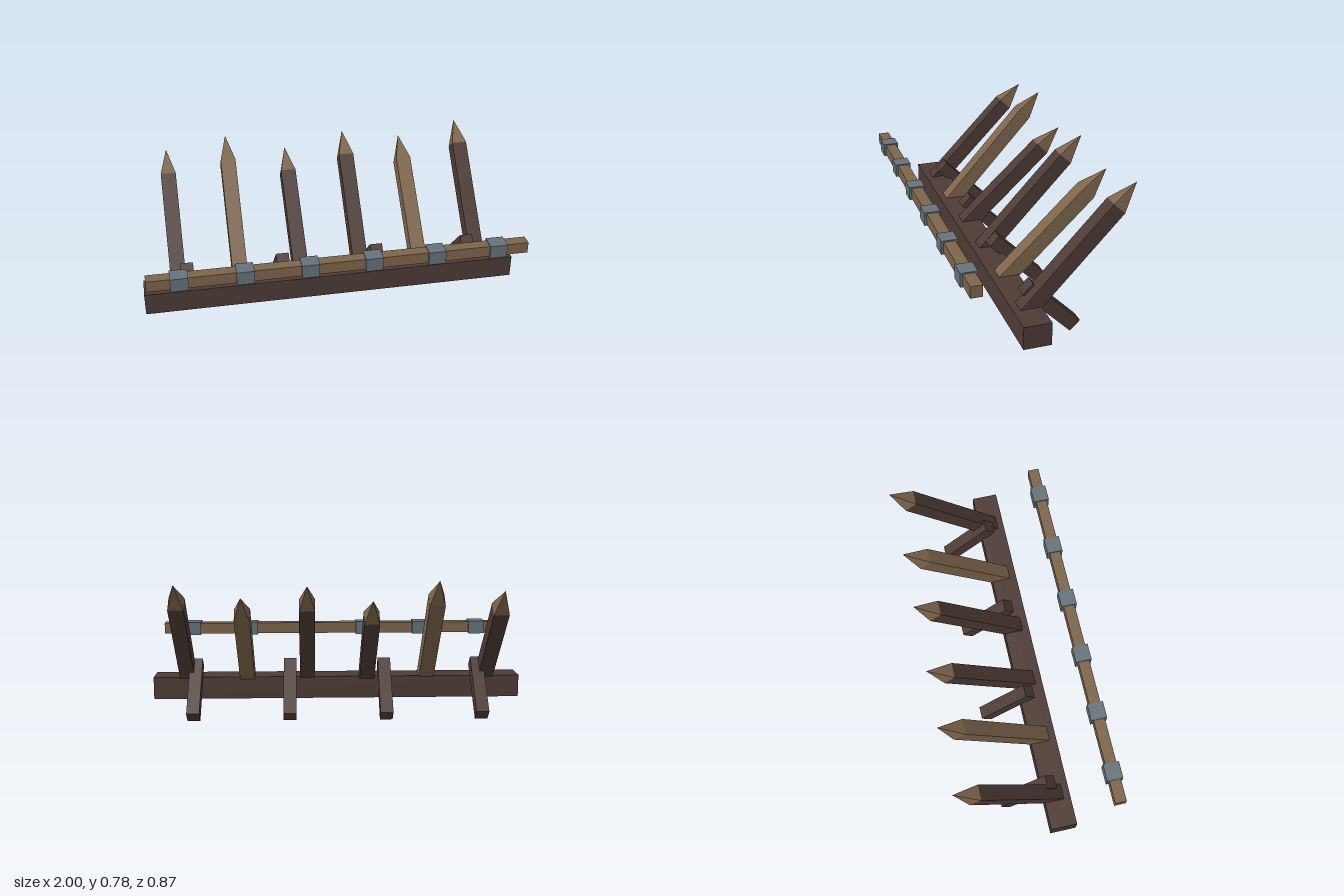
import * as THREE from 'three';

export function createModel() {
  const model = new THREE.Group();
  model.name = 'spikedBarricade';

  const material = (name, color) => {
    const m = new THREE.MeshStandardMaterial({ color, flatShading: true });
    m.name = name;
    return m;
  };
  const darkWood = material('darkWood', 0x4d3b35);
  const lightWood = material('lightWood', 0x7d654b);
  const metal = material('metal', 0x67727a);

  const add = (parent, name, geometry, mat, x, y, z) => {
    const mesh = new THREE.Mesh(geometry, mat);
    mesh.name = name;
    mesh.position.set(x, y, z);
    parent.add(mesh);
    return mesh;
  };

  // Ground beam and the separate front rail
  add(model, 'groundBeam', new THREE.BoxGeometry(2, 0.12, 0.14), darkWood, 0, 0.14, 0.108);
  add(model, 'frontRail', new THREE.BoxGeometry(1.956, 0.06, 0.06), lightWood, 0, 0.415, 0.393);

  // Rear braces, sloping down and back at 45 degrees
  for (const x of [-0.767, -0.257, 0.257, 0.767]) {
    const brace = add(model, 'rearBrace', new THREE.BoxGeometry(0.068, 0.35, 0.072), darkWood, x, 0.15, -0.036);
    brace.rotation.x = Math.PI / 4;
  }

  // Leaning stakes: x, tip height, tip depth, shaft material
  const stakes = [
    [-0.816, 0.728, -0.428, darkWood],
    [-0.49, 0.78, -0.434, lightWood],
    [-0.163, 0.68, -0.432, darkWood],
    [0.163, 0.755, -0.43, darkWood],
    [0.49, 0.698, -0.43, lightWood],
    [0.816, 0.764, -0.436, darkWood],
  ];
  const footY = 0.172, footZ = 0.113, width = 0.08, tipLength = 0.147;
  const tipGeometry = new THREE.ConeGeometry(width / Math.SQRT2, tipLength, 4);
  tipGeometry.rotateY(Math.PI / 4);

  for (const [x, tipY, tipZ, wood] of stakes) {
    const stake = new THREE.Group();
    stake.name = 'stake';
    stake.position.set(x, footY, footZ);
    stake.rotation.x = Math.atan2(tipZ - footZ, tipY - footY);
    const shaftLength = Math.hypot(tipZ - footZ, tipY - footY) - tipLength;
    add(stake, 'stakeShaft', new THREE.BoxGeometry(width, shaftLength, width), wood, 0, shaftLength / 2, 0);
    add(stake, 'stakeTip', tipGeometry, lightWood, 0, shaftLength + tipLength / 2, 0);
    model.add(stake);

    // Metal band on the rail in line with the stake
    add(model, 'railBand', new THREE.BoxGeometry(0.09, 0.072, 0.085), metal, x, 0.415, 0.393);
  }

  return model;
}
